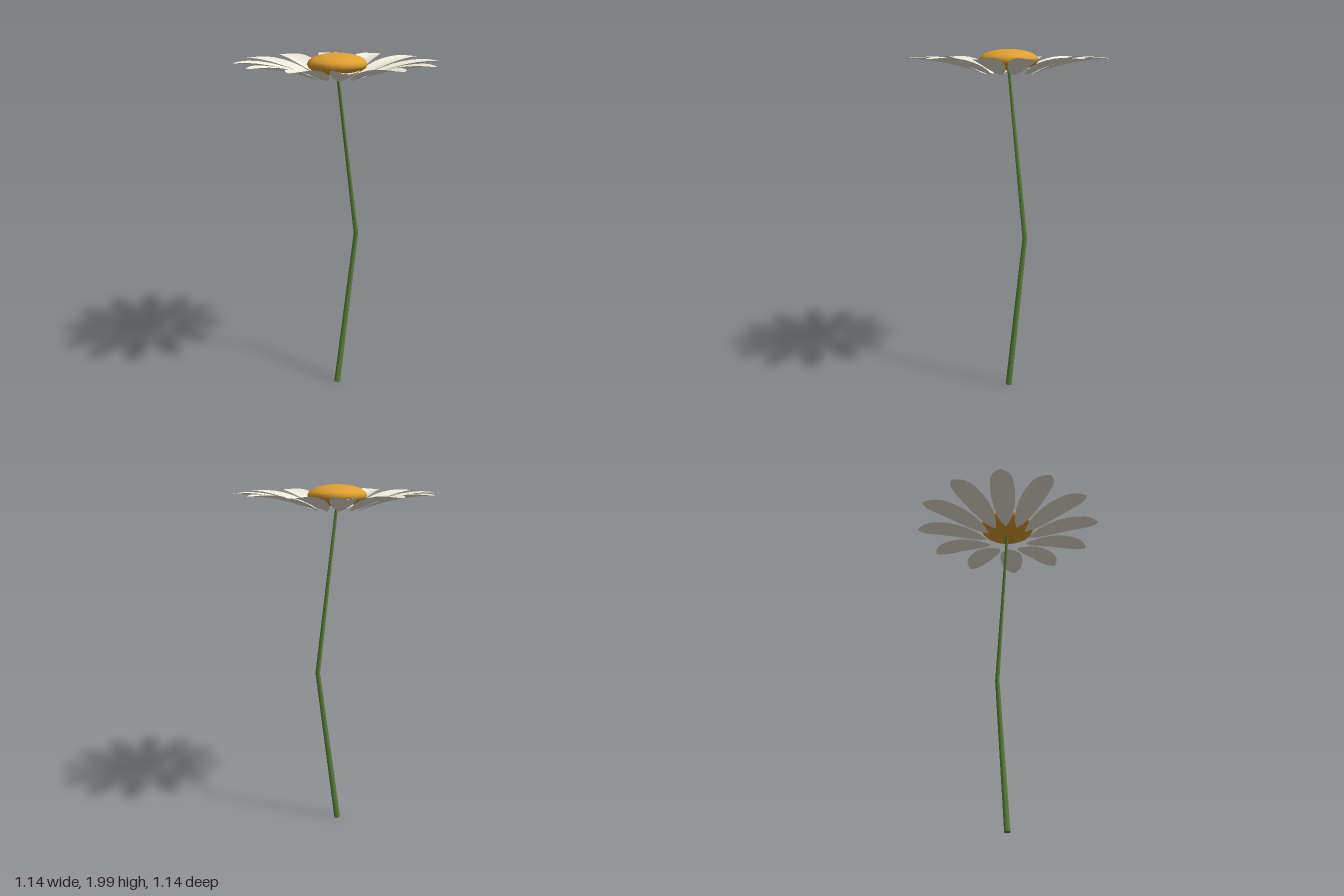
import * as THREE from 'three';

const PETALS = 12;

// Petal outline: [distance from the flower axis, half width]
const OUTLINE = [
  [0.13, 0.003], [0.168, 0.03], [0.2, 0.046], [0.25, 0.061], [0.31, 0.07], [0.37, 0.073],
  [0.43, 0.071], [0.48, 0.064], [0.52, 0.051], [0.55, 0.029], [0.571, 0.001],
];

// Thin cupped petal along +x, rising quickly then levelling out at the tip
function petalGeometry() {
  const rows = OUTLINE.length - 1, cols = 6;
  const geo = new THREE.PlaneGeometry(1, 1, cols, rows);
  const pos = geo.attributes.position;
  for (let i = 0; i <= rows; i++) {
    const [r, w] = OUTLINE[i];
    const t = (r - 0.13) / 0.441;
    const y = 1.86 + 0.09 * (1 - Math.pow(Math.max(0, 1 - t), 1.8));
    for (let j = 0; j <= cols; j++) {
      const s = (j / cols) * 2 - 1;
      const z = s * w;
      pos.setXYZ(i * (cols + 1) + j, r, y + 0.015 * (z / 0.073) ** 2, -z);
    }
  }
  // Turn the faces so that they look upward
  const idx = geo.index;
  geo.computeVertexNormals();
  if (geo.attributes.normal.getY(5 * (cols + 1) + 3) < 0) {
    for (let k = 0; k < idx.count; k += 3) {
      const a = idx.getX(k);
      idx.setX(k, idx.getX(k + 2));
      idx.setX(k + 2, a);
    }
    geo.computeVertexNormals();
  }
  return geo;
}

// Tapered stem built from rings at the base, the bend and the top
function stemGeometry() {
  const rings = [[0, 0.008, 0.018], [0.137, 0.94, 0.0135], [0, 1.9, 0.008]];
  const sides = 8;
  const geo = new THREE.CylinderGeometry(1, 1, 1, sides, 2);
  const pos = geo.attributes.position;
  for (let i = 0; i < pos.count; i++) {
    const [x, y, r] = rings[Math.round((pos.getY(i) + 0.5) * 2)];
    const px = pos.getX(i) * r;
    // End rings are square to the leaning stem
    const lean = y < 0.5 ? -0.145 : y > 1.5 ? 0.145 : 0;
    pos.setXYZ(i, x + px, y + px * lean, pos.getZ(i) * r);
  }
  geo.computeVertexNormals();
  return geo;
}

export function createModel() {
  const flower = new THREE.Group();
  flower.name = 'flower';
  const green = new THREE.MeshStandardMaterial({ color: 0x5c8038 });
  const gold = new THREE.MeshStandardMaterial({ color: 0xe0a030 });
  const cream = new THREE.MeshStandardMaterial({ color: 0xf0ecdc, side: THREE.DoubleSide });

  const stem = new THREE.Mesh(stemGeometry(), green);
  stem.name = 'stem';
  flower.add(stem);

  // Flattened dome in the middle of the flower
  const disc = new THREE.Mesh(new THREE.SphereGeometry(0.168, 16, 10), gold);
  disc.name = 'flowerCentre';
  disc.scale.y = 0.06 / 0.168;
  disc.position.y = 1.94;
  flower.add(disc);

  // Ring of petals
  const petals = new THREE.Group();
  petals.name = 'petals';
  const shape = petalGeometry();
  for (let i = 0; i < PETALS; i++) {
    const petal = new THREE.Mesh(shape, cream);
    petal.name = 'petal';
    petal.rotation.y = (i / PETALS) * Math.PI * 2;
    petals.add(petal);
  }
  flower.add(petals);
  return flower;
}
